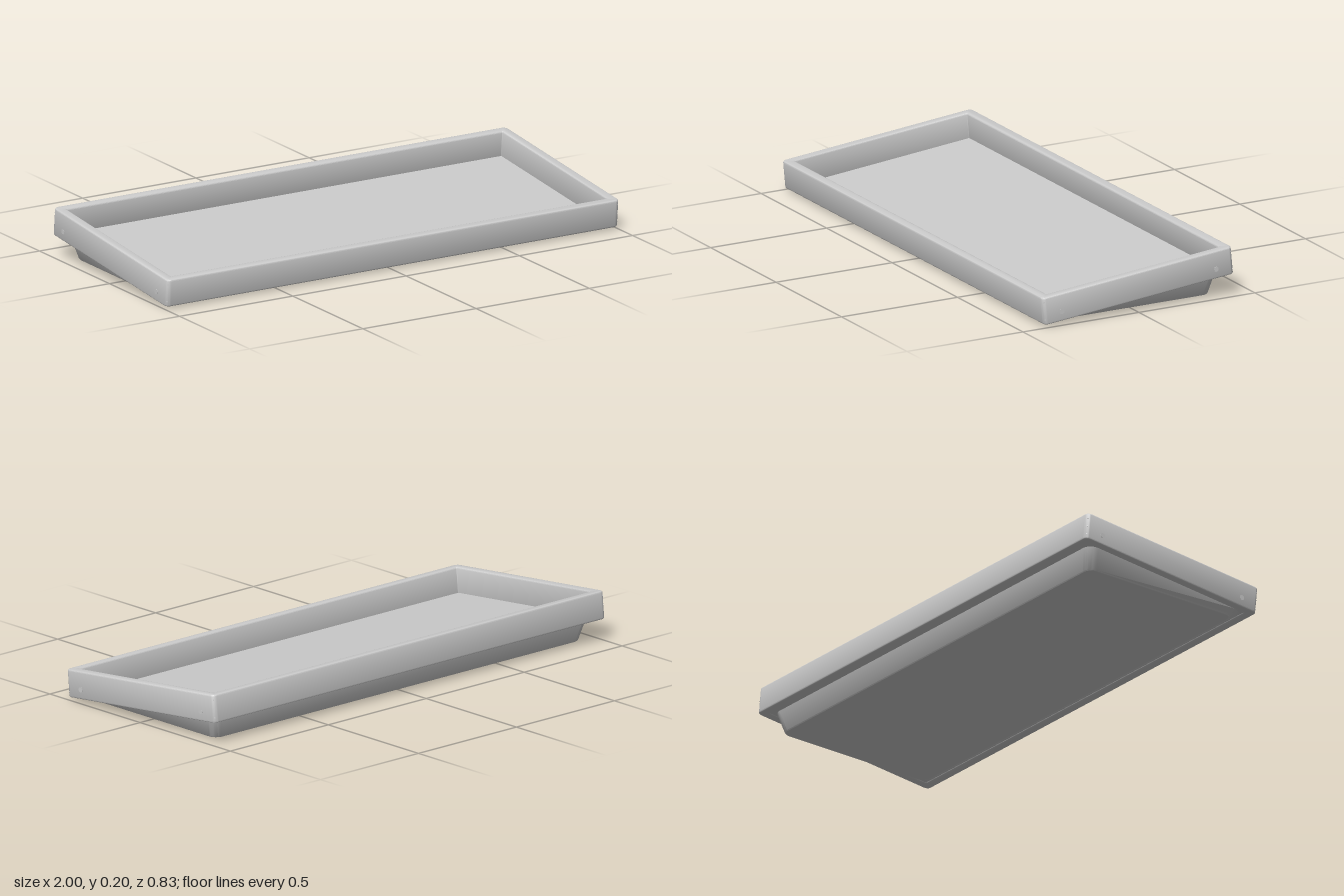
import * as THREE from 'three';
import { toCreasedNormals } from 'three/addons/utils/BufferGeometryUtils.js';

const grey = new THREE.MeshStandardMaterial({ color: 0xcccccc });

function add(parent, name, geometry, x = 0, y = 0, z = 0) {
  const mesh = new THREE.Mesh(geometry, grey);
  mesh.name = name;
  mesh.position.set(x, y, z);
  parent.add(mesh);
  return mesh;
}

// Outline of a rounded rectangle as [x, z] points, turning from +x towards +z
function outline(hw, hd, r, steps = 6) {
  const points = [];
  const corners = [[1, 1], [-1, 1], [-1, -1], [1, -1]];
  corners.forEach(([sx, sz], q) => {
    for (let i = 0; i <= steps; i++) {
      const a = (q + i / steps) * Math.PI / 2;
      points.push(new THREE.Vector2(sx * (hw - r) + r * Math.cos(a), sz * (hd - r) + r * Math.sin(a)));
    }
  });
  return points;
}

// Skin through rings from bottom to top, with a flat bottom cap
function loft(rings) {
  const n = rings[0].length, positions = [], index = [];
  for (const ring of rings) for (const p of ring) positions.push(p.x, p.y, p.z);
  for (let k = 0; k < rings.length - 1; k++) {
    for (let i = 0; i < n; i++) {
      const a = k * n + i, b = k * n + (i + 1) % n;
      index.push(a, a + n, b, b, a + n, b + n);
    }
  }
  for (let i = 1; i < n - 1; i++) index.push(0, i, i + 1);
  const g = new THREE.BufferGeometry();
  g.setAttribute('position', new THREE.Float32BufferAttribute(positions, 3));
  g.setIndex(index);
  return toCreasedNormals(g.toNonIndexed(), 0.5);
}

export function createModel() {
  const group = new THREE.Group();
  const tilt = 0.0963, height = 0.108, bevel = 0.006;

  // Tilted tray
  const tray = new THREE.Group();
  tray.name = 'tray';
  tray.position.y = 0.103;
  tray.rotation.x = tilt;
  group.add(tray);

  // Rim frame with softened edges
  const shape = new THREE.Shape(outline(0.999 - bevel, 0.411 - bevel, 0.014));
  shape.holes.push(new THREE.Path(outline(0.962 + bevel, 0.373 + bevel, 0.008)));
  const frame = new THREE.ExtrudeGeometry(shape, {
    depth: height - 2 * bevel, bevelThickness: bevel, bevelSize: bevel, bevelSegments: 3,
  });
  frame.rotateX(Math.PI / 2);
  add(tray, 'frame', toCreasedNormals(frame, 0.6), 0, height / 2 - bevel, 0);

  // Floor panel
  add(tray, 'floor', new THREE.BoxGeometry(1.945, 0.006, 0.765), 0, -0.048, 0);

  for (const sx of [-1, 1]) {
    for (const sz of [-1, 1]) {
      // Screws in the end walls
      const screw = new THREE.CylinderGeometry(0.01, 0.01, 0.02, 24).rotateZ(Math.PI / 2);
      add(tray, 'screw', screw, sx * 0.99, -0.017, sz * 0.334);
      // Small pins down each corner
      for (const y of [-0.034, 0, 0.034]) {
        const pin = new THREE.CylinderGeometry(0.0025, 0.0025, 0.01, 10).rotateX(Math.PI / 2);
        add(tray, 'cornerPin', pin, sx * 0.99, y, sz * 0.402).rotation.y = sx * sz * Math.PI / 4;
      }
    }
  }

  // Wedge base: flat underneath, flaring up to the sloping underside of the tray
  const flat = (hw, hd, r, y) => outline(hw, hd, r).map(p => new THREE.Vector3(p.x, y, p.y - 0.004));
  const sloped = outline(0.962, 0.366, 0.04)
    .map(p => new THREE.Vector3(p.x, 0.052 - Math.tan(tilt) * p.y, p.y));
  add(group, 'base', loft([
    flat(0.928, 0.336, 0.03, 0),
    flat(0.933, 0.341, 0.034, 0.0015),
    flat(0.936, 0.344, 0.036, 0.005),
    sloped,
  ]));

  return group;
}
